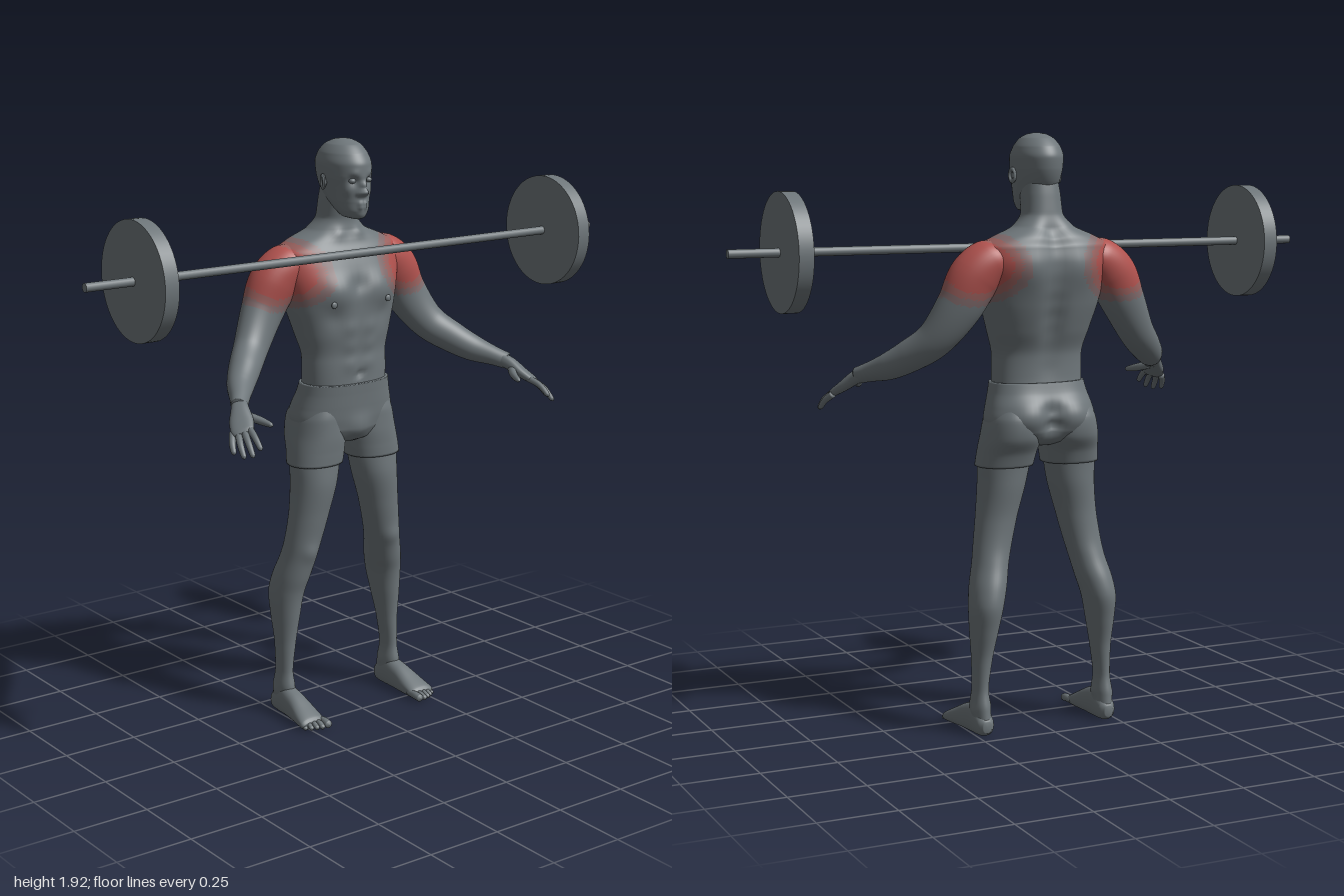
import * as THREE from 'three';

const V = (x, y, z) => new THREE.Vector3(x, y, z);
const mat = (name, color) => Object.assign(new THREE.MeshStandardMaterial({ color }), { name });

// Smooth skin through elliptical sections [x, y, z, halfU, halfV].
// ref is the U direction; axis fixes the section plane, otherwise it follows the path.
function loft(rows, { ref = V(1, 0, 0), axis = null, power = 2, around = 32, steps = 6 } = {}) {
  const path = new THREE.CatmullRomCurve3(rows.map(r => V(r[0], r[1], r[2])));
  const size = new THREE.CatmullRomCurve3(rows.map(r => V(r[3], r[4], 0)));
  const n = (rows.length - 1) * steps, pos = [], idx = [];
  const sq = v => Math.sign(v) * Math.pow(Math.abs(v), 2 / power);
  for (let i = 0; i <= n; i++) {
    const c = path.getPoint(i / n), s = size.getPoint(i / n);
    const T = axis ? axis.clone() : path.getTangent(i / n);
    const U = ref.clone().addScaledVector(T, -T.dot(ref)).normalize();
    const W = T.clone().cross(U);
    for (let j = 0; j < around; j++) {
      const a = j / around * Math.PI * 2;
      const p = c.clone().addScaledVector(U, Math.max(s.x, 0.001) * sq(Math.cos(a)))
        .addScaledVector(W, Math.max(s.y, 0.001) * sq(Math.sin(a)));
      pos.push(p.x, p.y, p.z);
      if (i < n) {
        const k = i * around, j2 = (j + 1) % around;
        idx.push(k + j, k + j2, k + j2 + around, k + j, k + j2 + around, k + j + around);
      }
    }
  }
  // end caps
  const first = path.getPoint(0), last = path.getPoint(1), m = pos.length / 3;
  pos.push(first.x, first.y, first.z, last.x, last.y, last.z);
  for (let j = 0; j < around; j++) {
    const j2 = (j + 1) % around, k = n * around;
    idx.push(m, j2, j, m + 1, k + j, k + j2);
  }
  const g = new THREE.BufferGeometry();
  g.setAttribute('position', new THREE.Float32BufferAttribute(pos, 3));
  g.setIndex(idx);
  g.computeVertexNormals();
  return g;
}

// Sections given by extents [y, x0, x1, z0, z1], stacked upward
const stack = (rows, opts) => loft(
  rows.map(([y, a, b, c, d]) => [(a + b) / 2, y, (c + d) / 2, (b - a) / 2, (d - c) / 2]),
  { axis: V(0, 1, 0), ...opts });
// The same, symmetric about x = 0: [y, halfWidth, zFront, zBack]
const trunk = (rows, opts) => stack(rows.map(([y, w, f, b]) => [y, -w, w, b, f]), { around: 72, steps: 8, ...opts });

// Push the surface in or out around points [x, y, z, radius, amount], on both sides
function sculpt(g, bumps) {
  const p = g.attributes.position, nrm = g.attributes.normal;
  for (let i = 0; i < p.count; i++) {
    const v = V().fromBufferAttribute(p, i), q = V(Math.abs(v.x), v.y, v.z);
    let d = 0;
    for (const [x, y, z, r, a] of bumps) d += a * Math.exp(-q.distanceToSquared(V(x, y, z)) / (r * r));
    v.addScaledVector(V().fromBufferAttribute(nrm, i), d);
    p.setXYZ(i, v.x, v.y, v.z);
  }
  g.computeVertexNormals();
  return g;
}

// Sort triangles into colour groups by distance from the shoulder
function heat(g) {
  const p = g.attributes.position, ix = g.index.array, bins = [[], [], [], []];
  for (let i = 0; i < ix.length; i += 3) {
    const t = [ix[i], ix[i + 1], ix[i + 2]];
    const c = t.reduce((s, k) => s.add(V().fromBufferAttribute(p, k)), V()).divideScalar(3);
    const d = Math.hypot((Math.abs(c.x) - 0.25) / 0.155, (c.y - 1.51) / 0.12);
    bins[d < 0.68 ? 3 : d < 0.86 ? 2 : d < 1.04 ? 1 : 0].push(...t);
  }
  g.setIndex(bins.flat());
  let start = 0;
  bins.forEach((b, k) => { g.addGroup(start, b.length, k); start += b.length; });
  return g;
}

function mirror(g) {
  const m = g.clone().scale(-1, 1, 1), a = m.index.array;
  for (let i = 0; i < a.length; i += 3) [a[i], a[i + 1]] = [a[i + 1], a[i]];
  m.computeVertexNormals();
  return m;
}

export function createModel() {
  const model = new THREE.Group();
  const grey = mat('slateGrey', 0x6e767a);
  const tones = [grey, mat('faintRed', 0x806a6b), mat('mutedRed', 0x98605d), mat('muscleRed', 0xb0524e)];
  const add = (name, g, m = grey) => {
    const mesh = new THREE.Mesh(g, m);
    mesh.name = name;
    model.add(mesh);
    return mesh;
  };
  const pair = (name, g, m) => {
    add(name + 'Left', g, m);
    add(name + 'Right', mirror(g), m);
  };
  const ball = (r, x, y, z, sx, sy, sz) => new THREE.SphereGeometry(r, 20, 14).scale(sx, sy, sz).translate(x, y, z);

  // Torso and neck with chest, abdomen, shoulder blades and spine
  const muscles = [[0.085, 1.44, 0, 0.06, 0.016], [0, 1.46, 0, 0.03, -0.012], [0.1, 1.36, 0, 0.035, -0.008],
    [0.09, 1.5, -0.26, 0.06, 0.012], [0, 1.165, -0.01, 0.012, -0.012], [0.04, 1.62, -0.07, 0.02, 0.006]];
  for (const y of [1.2, 1.26, 1.32]) muscles.push([0.035, y, -0.005, 0.026, 0.006]);
  for (let y = 1.18; y < 1.62; y += 0.055) muscles.push([0, y, -0.235, 0.035, -0.014]);
  add('torso', heat(sculpt(trunk([
    [1.08, 0.15, -0.012, -0.205], [1.15, 0.152, -0.012, -0.196], [1.22, 0.152, -0.014, -0.196],
    [1.30, 0.172, -0.008, -0.222], [1.38, 0.196, -0.006, -0.245], [1.45, 0.212, -0.008, -0.258],
    [1.52, 0.228, -0.03, -0.262], [1.57, 0.222, -0.05, -0.255], [1.60, 0.17, -0.066, -0.245],
    [1.63, 0.1, -0.077, -0.225], [1.67, 0.066, -0.08, -0.205], [1.73, 0.062, -0.07, -0.195],
    [1.78, 0.055, -0.07, -0.185]], { power: 2.3 }), muscles)), tones);
  pair('nipple', ball(0.011, 0.108, 1.405, -0.005, 1, 1, 0.5));

  // Head with sculpted face
  add('head', sculpt(trunk([
    [1.672, 0.012, -0.02, -0.06], [1.68, 0.036, -0.006, -0.09], [1.70, 0.05, 0.002, -0.12],
    [1.73, 0.062, 0.003, -0.165], [1.77, 0.071, 0.003, -0.195], [1.81, 0.078, 0.008, -0.21],
    [1.845, 0.08, 0.006, -0.214], [1.88, 0.071, -0.012, -0.2], [1.907, 0.051, -0.04, -0.17],
    [1.92, 0.027, -0.075, -0.135], [1.924, 0.002, -0.1, -0.105]], { steps: 10 }), [
    [0, 1.762, 0.005, 0.013, 0.024], [0, 1.785, 0.006, 0.01, 0.012], [0.014, 1.756, 0, 0.008, 0.007],
    [0.032, 1.797, 0, 0.016, -0.012], [0.03, 1.818, 0, 0.014, 0.004], [0.045, 1.765, -0.015, 0.02, 0.004],
    [0.008, 1.724, 0.002, 0.009, 0.006], [0.008, 1.711, 0.002, 0.008, 0.006], [0, 1.686, 0, 0.018, 0.006]]));
  pair('eye', ball(0.011, 0.032, 1.797, -0.012, 1.1, 0.8, 1));
  pair('ear', new THREE.TorusGeometry(0.015, 0.006, 8, 20).scale(0.8, 1.25, 1)
    .rotateY(Math.PI / 2 + 0.3).translate(0.083, 1.79, -0.1));
  pair('earInner', ball(0.014, 0.079, 1.788, -0.098, 0.4, 1.1, 0.8));

  // Shorts: seat and legs
  add('shortsSeat', sculpt(trunk([
    [0.93, 0.04, -0.06, -0.17], [0.945, 0.12, -0.035, -0.205], [0.98, 0.178, -0.02, -0.23],
    [1.02, 0.187, -0.014, -0.238], [1.06, 0.178, -0.01, -0.23], [1.10, 0.166, -0.007, -0.213],
    [1.135, 0.158, -0.004, -0.203]], { power: 2.4 }), [
    [0.085, 1.03, -0.235, 0.055, 0.014], [0, 1.0, -0.24, 0.03, -0.025], [0, 1.05, -0.24, 0.026, -0.018],
    [0, 0.985, -0.02, 0.04, 0.014]]));
  pair('shortsLeg', stack([
    [0.866, 0.022, 0.212, -0.19, -0.024], [0.91, 0.014, 0.206, -0.205, -0.022],
    [0.96, 0.008, 0.197, -0.232, -0.02], [1.02, 0.02, 0.184, -0.235, -0.022],
    [1.06, 0.03, 0.165, -0.215, -0.03]], { power: 2.2, around: 48 }));

  // Legs: heel up to thigh
  pair('leg', sculpt(stack([
    [0.012, 0.195, 0.247, -0.195, -0.12], [0.05, 0.19, 0.25, -0.2, -0.1], [0.09, 0.19, 0.252, -0.196, -0.098],
    [0.15, 0.195, 0.246, -0.184, -0.108], [0.25, 0.181, 0.248, -0.19, -0.105], [0.34, 0.164, 0.255, -0.21, -0.095],
    [0.42, 0.148, 0.258, -0.225, -0.085], [0.48, 0.132, 0.25, -0.215, -0.07], [0.55, 0.115, 0.233, -0.19, -0.057],
    [0.61, 0.098, 0.224, -0.175, -0.05], [0.70, 0.074, 0.212, -0.17, -0.038], [0.80, 0.046, 0.204, -0.18, -0.026],
    [0.88, 0.03, 0.204, -0.186, -0.03], [0.95, 0.025, 0.195, -0.2, -0.03]], { around: 40 }), [
    [0.17, 0.57, -0.05, 0.03, 0.007], [0.195, 0.09, -0.15, 0.015, 0.005], [0.25, 0.08, -0.16, 0.015, 0.005]]));

  // Feet: flattened underneath, with five toes
  const foot = loft([
    [0.22, 0.03, -0.205, 0.015, 0.018], [0.22, 0.033, -0.185, 0.03, 0.035], [0.221, 0.045, -0.13, 0.034, 0.052],
    [0.223, 0.037, -0.07, 0.038, 0.046], [0.227, 0.024, -0.01, 0.045, 0.031], [0.23, 0.015, 0.03, 0.047, 0.02],
    [0.231, 0.012, 0.042, 0.04, 0.012]], { axis: V(0, 0, 1), power: 2.3 });
  const fp = foot.attributes.position;
  for (let i = 0; i < fp.count; i++) fp.setY(i, Math.max(0, fp.getY(i)));
  foot.computeVertexNormals();
  pair('foot', foot);
  [[0.192, 0.078, 0.0135], [0.214, 0.076, 0.0095], [0.232, 0.07, 0.009], [0.249, 0.062, 0.0085], [0.265, 0.05, 0.008]]
    .forEach(([x, z, r], i) => pair('toe' + (i + 1), loft([
      [x, 0.016, 0.01, r * 0.8, r * 0.8], [x, 0.016, z - 0.025, r, r], [x + 0.001, r, z - 0.007, r, r * 0.95],
      [x + 0.001, r, z, 0.002, 0.002]], { axis: V(0, 0, 1), around: 12 })));

  // Arms: shoulder to wrist
  pair('arm', heat(loft([
    [0.13, 1.53, -0.155, 0.04, 0.06], [0.19, 1.52, -0.155, 0.074, 0.078], [0.24, 1.475, -0.155, 0.083, 0.074],
    [0.29, 1.385, -0.15, 0.075, 0.06], [0.36, 1.28, -0.113, 0.06, 0.052], [0.42, 1.228, -0.06, 0.053, 0.05],
    [0.47, 1.192, -0.008, 0.045, 0.042], [0.515, 1.168, 0.055, 0.032, 0.03], [0.54, 1.155, 0.09, 0.028, 0.024]],
  { ref: V(0.7, 0.7, 0), around: 48, steps: 10 })), tones);

  // Hands: palm, fingers and thumb
  const across = V(0.8, -0.25, -0.5).normalize();
  pair('palm', loft([
    [0.525, 1.163, 0.068, 0.024, 0.022], [0.543, 1.148, 0.1, 0.029, 0.022], [0.565, 1.12, 0.14, 0.038, 0.018],
    [0.582, 1.1, 0.172, 0.036, 0.014], [0.587, 1.094, 0.184, 0.026, 0.008]], { ref: across, power: 2.4 }));
  const fingers = {
    indexFinger: [[0.56, 1.108, 0.175], [0.572, 1.09, 0.225], [0.577, 1.06, 0.265]],
    middleFinger: [[0.578, 1.1, 0.175], [0.594, 1.075, 0.222], [0.602, 1.04, 0.26]],
    ringFinger: [[0.593, 1.094, 0.165], [0.612, 1.068, 0.205], [0.62, 1.034, 0.238]],
    littleFinger: [[0.603, 1.092, 0.148], [0.622, 1.068, 0.175], [0.631, 1.04, 0.198]],
    thumb: [[0.54, 1.135, 0.115], [0.512, 1.122, 0.16], [0.495, 1.112, 0.208]],
  };
  for (const [name, [a, b, c]] of Object.entries(fingers)) {
    const k = name === 'thumb' ? 1.25 : 1;
    const near = b.map((v, i) => v + (c[i] - v) * 0.85);
    pair(name, loft([[...a, 0.0115 * k, 0.0115 * k], [...b, 0.0105 * k, 0.0105 * k],
      [...near, 0.008, 0.008], [...c, 0.002, 0.002]], { ref: across, around: 12 }));
  }

  // Barbell
  const rod = (r, len, x, seg) => new THREE.CylinderGeometry(r, r, len, seg).rotateZ(Math.PI / 2).translate(x, 1.56, -0.025);
  add('bar', rod(0.014, 2, 0, 20));
  for (const s of [-1, 1]) add(s > 0 ? 'plateLeft' : 'plateRight', rod(0.187, 0.048, s * 0.812, 64));
  return model;
}
